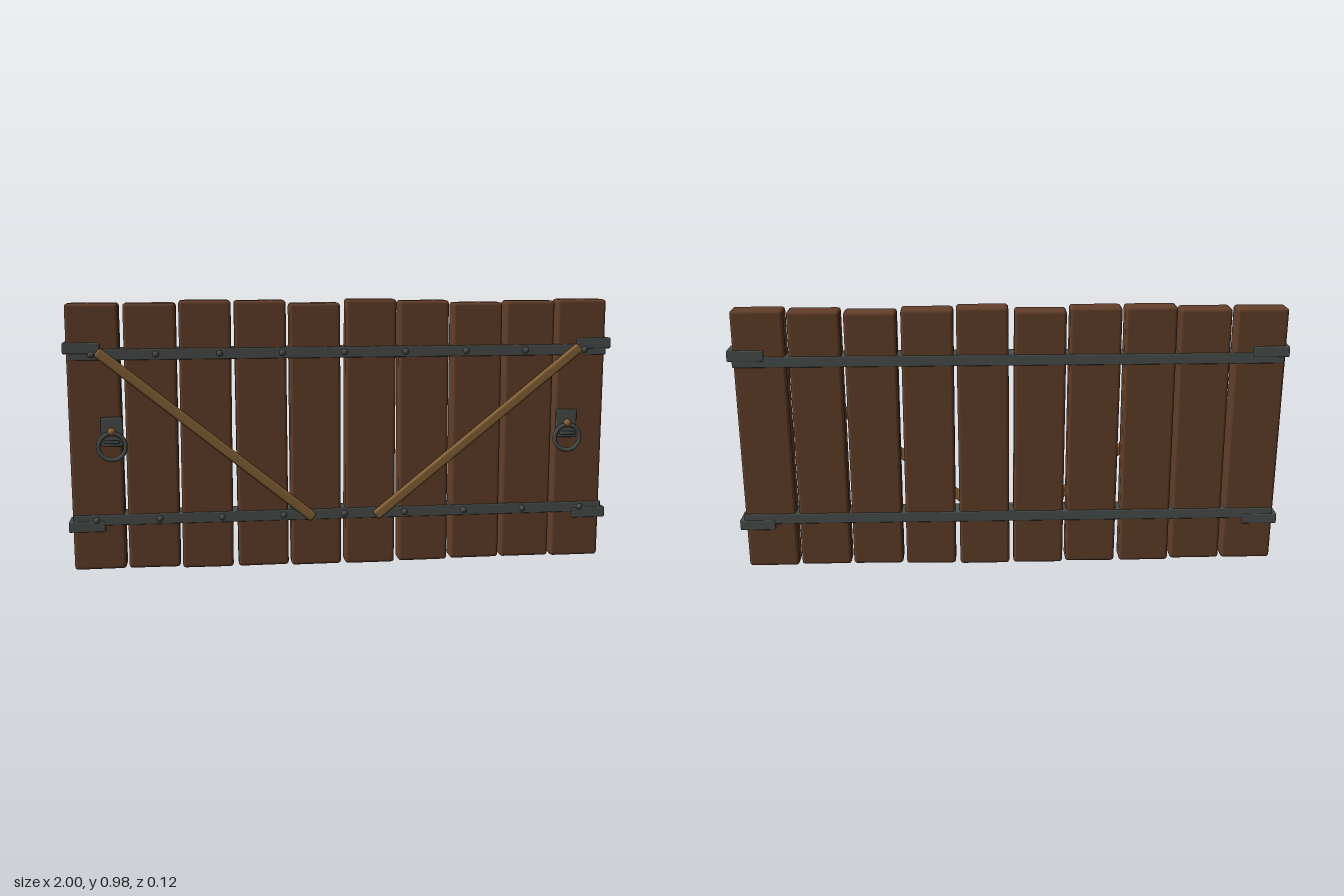
import * as THREE from 'three';
import { RoundedBoxGeometry } from 'three/addons/geometries/RoundedBoxGeometry.js';

const material = (name, color) => new THREE.MeshStandardMaterial({ name, color });

export function createModel() {
  const wood = material('dark wood', 0x633f2a);
  const iron = material('iron', 0x4a504d);
  const braceWood = material('light wood', 0x8a6438);
  const knobMat = material('bronze', 0x946438);

  const gate = new THREE.Group();
  gate.name = 'gate';

  function add(name, geometry, mat, x, y, z, parent = gate) {
    const mesh = new THREE.Mesh(geometry, mat);
    mesh.name = name;
    mesh.position.set(x, y, z);
    parent.add(mesh);
    return mesh;
  }
  const block = (w, h, d, r) => new RoundedBoxGeometry(w, h, d, 2, r);

  // Uneven planks: centre x, bottom, top, slight lean
  const planks = [
    [-0.894, 0.013, 0.975, 0.004], [-0.696, 0.013, 0.975, -0.003],
    [-0.502, 0.007, 0.983, -0.004], [-0.302, 0.007, 0.982, 0.004],
    [-0.106, 0.004, 0.972, 0.003], [0.097, 0.003, 0.985, -0.003],
    [0.295, 0.006, 0.979, 0.004], [0.494, 0.009, 0.971, 0.002],
    [0.690, 0.009, 0.976, -0.002], [0.886, 0.006, 0.98, -0.002],
  ];
  for (const [x, bottom, top, lean] of planks) {
    const plank = add('plank', block(0.185, top - bottom, 0.08, 0.012), wood,
      x, (top + bottom) / 2, -0.0155);
    plank.rotation.z = lean;
  }

  // Iron straps around the planks, with end clamps and rivets
  for (const [strapY, clampY] of [[0.795, 0.818], [0.197, 0.174]]) {
    add('strap', block(1.966, 0.04, 0.086, 0.004), iron, 0, strapY, -0.0155);
    for (const side of [-1, 1]) {
      add('strapClamp', block(0.13, 0.04, 0.09, 0.005), iron, side * 0.935, clampY, -0.0155);
    }
    for (let i = -4; i <= 4; i++) {
      const rivet = add('rivet', new THREE.SphereGeometry(0.012, 10, 6, 0, Math.PI * 2, 0, Math.PI / 2),
        iron, i * 0.225, strapY, 0.027);
      rivet.rotation.x = Math.PI / 2;
    }
  }

  // Diagonal braces and ring handles, mirrored
  for (const side of [-1, 1]) {
    const dx = 0.765, dy = 0.62;
    const brace = add('brace', new RoundedBoxGeometry(Math.hypot(dx, dy), 0.036, 0.024, 1, 0.009),
      braceWood, side * 0.498, 0.496, 0.033);
    brace.rotation.z = side * Math.atan2(dy, dx);

    const handle = new THREE.Group();
    handle.name = 'ringHandle';
    handle.position.set(side * 0.836, 0, 0);
    gate.add(handle);
    add('handlePlate', block(0.078, 0.105, 0.014, 0.004), iron, 0, 0.52, 0.03, handle);
    const knob = add('handleKnob', new THREE.SphereGeometry(0.015, 12, 8), knobMat, 0, 0.522, 0.046, handle);
    knob.scale.z = 0.95;
    add('handleRing', new THREE.TorusGeometry(0.048, 0.008, 8, 24), iron, 0, 0.469, 0.048, handle);
    add('ringWeight', block(0.055, 0.012, 0.014, 0.004), iron, 0, 0.485, 0.045, handle);
  }

  return gate;
}
